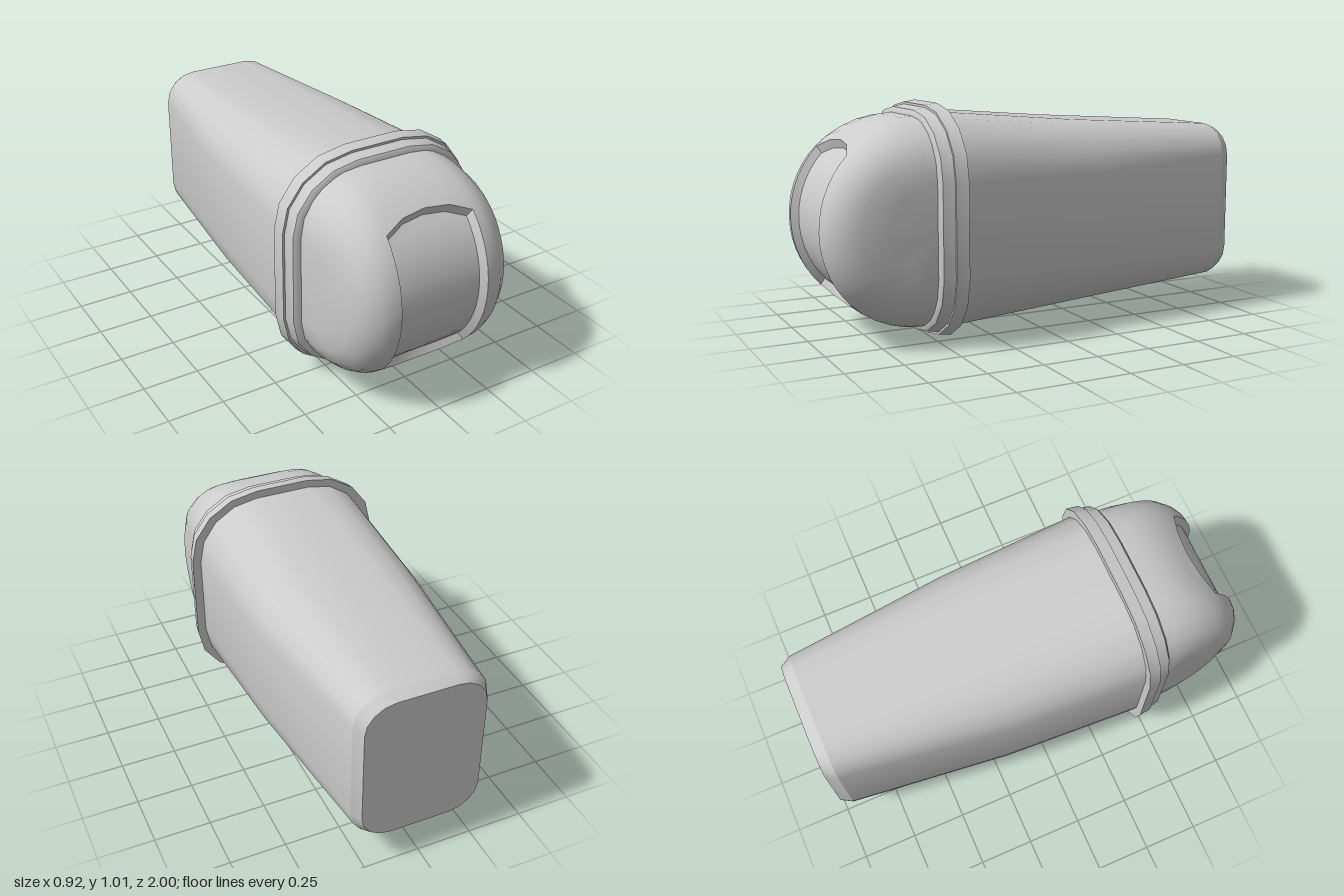
import * as THREE from 'three';
import { toCreasedNormals } from 'three/addons/utils/BufferGeometryUtils.js';

const CY = 0.507; // height of the long axis
const material = new THREE.MeshStandardMaterial({ color: 0xcccccc, side: THREE.DoubleSide });

// Mesh from a grid of points [row][col]; skip(row, col) leaves a cell open
function gridMesh(name, rows, crease = 0.6, skip = () => false) {
  const n = rows[0].length;
  const index = [];
  for (let r = 0; r < rows.length - 1; r++) {
    for (let c = 0; c < n - 1; c++) {
      if (skip(r, c)) continue;
      const a = r * n + c, b = a + 1, d = a + n, e = d + 1;
      index.push(a, b, e, a, e, d);
    }
  }
  const g = new THREE.BufferGeometry();
  g.setAttribute('position', new THREE.Float32BufferAttribute(rows.flat(2), 3));
  g.setIndex(index);
  const mesh = new THREE.Mesh(toCreasedNormals(g, crease), material);
  mesh.name = name;
  return mesh;
}

// Closed rounded-rectangle section with four segments per corner
function section(z, hw, hh, rx, ry) {
  const pts = [];
  for (let q = 0; q < 4; q++) {
    const sx = q === 0 || q === 3 ? 1 : -1, sy = q < 2 ? 1 : -1;
    for (let i = 0; i <= 4; i++) {
      const a = (q + i / 4) * Math.PI / 2;
      pts.push([sx * (hw - rx) + rx * Math.cos(a), CY + sy * (hh - ry) + ry * Math.sin(a), z]);
    }
  }
  pts.push(pts[0]);
  return pts;
}
const loft = (name, list) => gridMesh(name, list.map((s) => section(...s)));

// Rim section, its corners scaled to the half width
const rim = (z, hw) => [z, hw, hw + 0.047, hw - 0.125, hw - 0.155];

// Domed nose: profiles [x, radius] at its base (top and bottom) and at its front
const BASE = [[0, 0.455], [0.12, 0.455], [0.2, 0.446], [0.24, 0.432], [0.3, 0.398],
  [0.345, 0.354], [0.385, 0.285], [0.4, 0.2], [0.4, 0]];
const FRONT = [[0, 0.45], [0.11, 0.45], [0.21, 0.45], [0.25, 0.446], [0.29, 0.43],
  [0.34, 0.39], [0.37, 0.32], [0.385, 0.2], [0.4, 0]];
const LAST = BASE.length - 1;
const EDGE = 2;            // column where the recess ends
const INNER = 7, OUTER = 5; // rows from centre to the recess end, and on to the base

// Angle of a row; the recess ends follow a shallow arch
function rowAngle(row, col) {
  const limit = [52, 50, 44][Math.min(Math.abs(col), EDGE)];
  const k = Math.abs(row);
  const deg = k <= INNER ? limit * k / INNER : limit + (90 - limit) * (k - INNER) / OUTER;
  return Math.sign(row) * deg * Math.PI / 180;
}

function nosePoint(row, col) {
  const t = rowAngle(row, col), m = Math.sin(t) ** 4, i = Math.abs(col);
  const x = THREE.MathUtils.lerp(FRONT[i][0], BASE[i][0], m) * Math.sign(col);
  const r = THREE.MathUtils.lerp(FRONT[i][1], BASE[i][1], m);
  return [x, CY + r * Math.sin(t), 0.553 + r * Math.cos(t) * 0.993];
}

// The recess floor is the same patch, sunk and slightly narrower
function floorPoint(row, col) {
  const t = rowAngle(row, col) * 0.97;
  const x = nosePoint(row, col)[0] * 0.91;
  return [x, CY + 0.415 * Math.sin(t), 0.553 + 0.415 * Math.cos(t)];
}

function range(a, b) {
  const step = Math.sign(b - a);
  return Array.from({ length: Math.abs(b - a) + 1 }, (_, i) => a + i * step);
}

export function createModel() {
  const model = new THREE.Group();

  // Tapering body, bevelled and closed at the back
  model.add(loft('body', [
    [-0.95, 0.295, 0.367, 0.15, 0.14],
    [-0.2, 0.387, 0.415, 0.23, 0.22],
    [0.44, 0.42, 0.47, 0.29, 0.275],
  ]));
  model.add(loft('backBevel', [
    [-1, 0.268, 0.343, 0.135, 0.125],
    [-0.95, 0.295, 0.367, 0.15, 0.14],
  ]));
  model.add(loft('backCap', [
    [-1, 0, 0, 0, 0],
    [-1, 0.268, 0.343, 0.135, 0.125],
  ]));

  // Two stepped rings around the joint
  model.add(loft('flange', [rim(0.44, 0.41), rim(0.44, 0.46), rim(0.495, 0.452), rim(0.495, 0.43)]));
  model.add(loft('collar', [rim(0.495, 0.442), rim(0.545, 0.432), rim(0.555, 0.416), rim(0.555, 0.39)]));

  // Nose shell, open where the recess sits
  const nose = new THREE.Group();
  nose.name = 'nose';
  const total = INNER + OUTER;
  const shellRows = range(-total, total).map((r) => range(-LAST, LAST).map((c) => nosePoint(r, c)));
  nose.add(gridMesh('noseShell', shellRows, 0.8, (r, c) =>
    r >= OUTER && r < OUTER + 2 * INNER && c >= LAST - EDGE && c < LAST + EDGE));

  // Recess floor and sloping walls
  const floorRows = range(-INNER, INNER).map((r) => range(-EDGE, EDGE).map((c) => floorPoint(r, c)));
  nose.add(gridMesh('recessFloor', floorRows));
  const loop = [
    ...range(-EDGE, EDGE).map((c) => [-INNER, c]),
    ...range(-INNER, INNER).map((r) => [r, EDGE]),
    ...range(EDGE, -EDGE).map((c) => [INNER, c]),
    ...range(INNER, -INNER).map((r) => [r, -EDGE]),
  ];
  nose.add(gridMesh('recessWalls', [
    loop.map((p) => nosePoint(...p)),
    loop.map((p) => floorPoint(...p)),
  ]));
  model.add(nose);

  return model;
}
